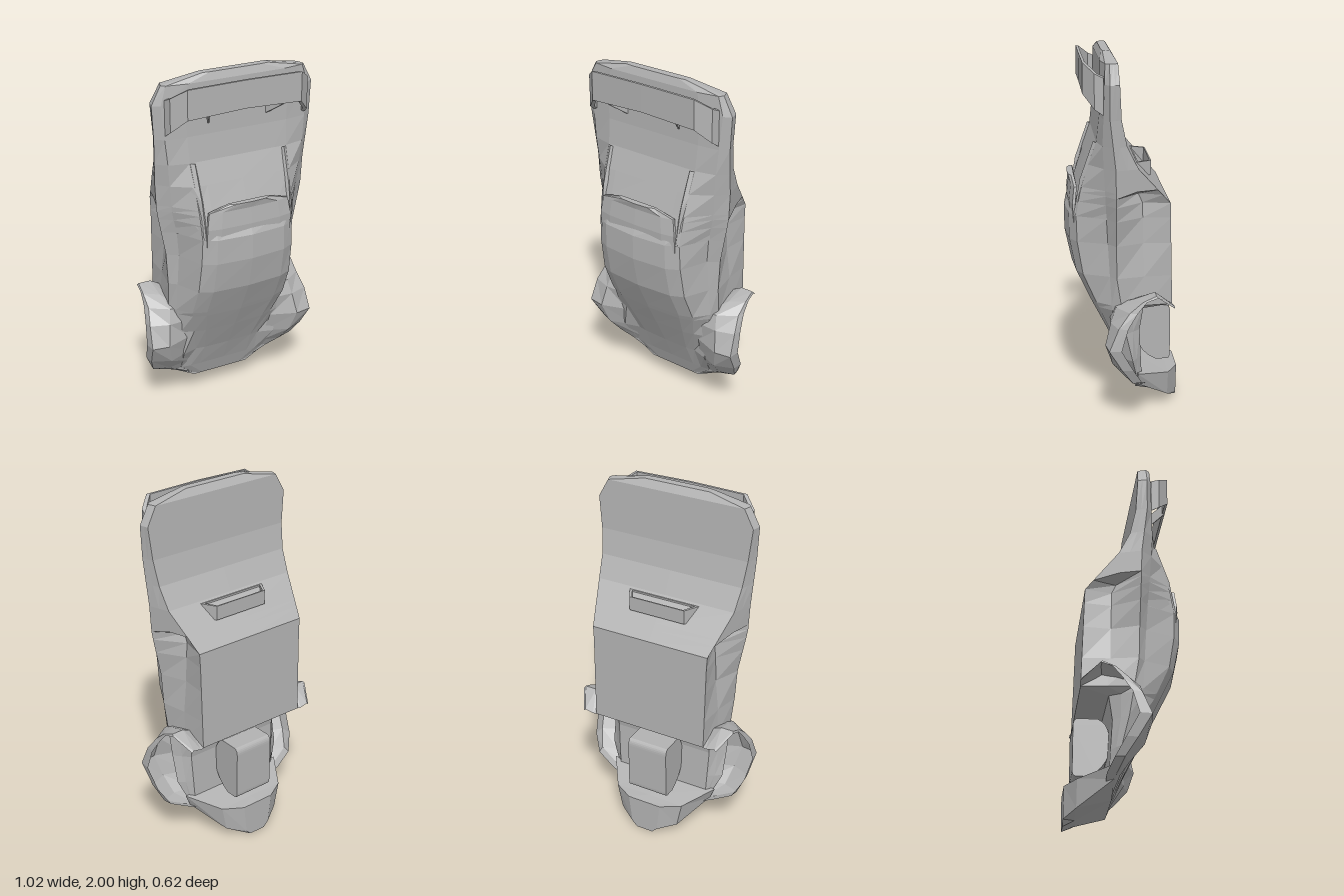
import * as THREE from 'three';

const paint = new THREE.MeshStandardMaterial({ color: 0xb2b2b2, flatShading: true, side: THREE.DoubleSide });
paint.name = 'body grey';

// Skin between successive rings of [x, y, z] points
function loft(rings, closed = true, caps = closed) {
  const out = [], n = rings[0].length, last = rings.length - 1;
  const tri = (a, b, c) => out.push(...a, ...b, ...c);
  for (let i = 0; i < last; i++) {
    for (let j = 0; j < (closed ? n : n - 1); j++) {
      const k = (j + 1) % n, a = rings[i][j], b = rings[i][k], c = rings[i + 1][k], d = rings[i + 1][j];
      tri(a, b, c);
      tri(a, c, d);
    }
  }
  if (caps) for (let j = 0; j < n; j++) {
    const k = (j + 1) % n;
    const mid = r => [0, (r[0][1] + r[n >> 1][1]) / 2, (r[0][2] + r[n >> 1][2]) / 2];
    tri(mid(rings[0]), rings[0][k], rings[0][j]);
    tri(mid(rings[last]), rings[last][j], rings[last][k]);
  }
  const g = new THREE.BufferGeometry();
  g.setAttribute('position', new THREE.Float32BufferAttribute(out, 3));
  g.computeVertexNormals();
  return g;
}

// Closes a half ring (first and last points on x = 0) with its mirror image
const mirrorRing = half => [...half, ...half.slice(1, -1).reverse().map(([x, y, z]) => [-x, y, z])];

// Straight-line interpolation through (height, value) pairs
const profile = (...p) => y => {
  if (y <= p[0]) return p[1];
  for (let i = 2; i < p.length; i += 2) {
    if (y <= p[i]) return THREE.MathUtils.mapLinear(y, p[i - 2], p[i], p[i - 1], p[i + 1]);
  }
  return p[p.length - 1];
};

// Long lines of the shell, from nose to tail
const crownZ = profile(0.11, -0.07, 0.2, -0.035, 0.34, 0.03, 0.63, 0.18, 0.82, 0.272, 1, 0.31, 1.14, 0.31, 1.26, 0.25, 1.54, 0.15, 1.68, 0.135, 1.96, 0.13, 2, 0.115);
const roofX = profile(0.11, 0.12, 0.2, 0.21, 0.34, 0.2, 0.66, 0.285, 1.14, 0.27, 1.86, 0.3, 1.96, 0.28, 2, 0.15);
const roofDrop = profile(0.2, 0, 0.63, 0.04, 1, 0.057, 1.14, 0.053, 1.26, 0.012, 1.42, 0);
const wideX = profile(0.11, 0.17, 0.2, 0.3, 0.34, 0.36, 0.66, 0.37, 1, 0.39, 1.26, 0.44, 1.86, 0.468, 1.96, 0.415, 2, 0.2);
const wideZ = profile(0.11, -0.085, 0.2, -0.07, 0.5, 0, 0.82, 0.05, 1.42, 0.06, 1.68, 0.09);
const beltInset = profile(0.11, 0.01, 0.34, 0.07, 0.66, 0.025, 1.14, 0.07, 1.86, 0.04, 2, 0.01);
const beltZ = profile(0.11, -0.075, 0.2, -0.045, 0.34, 0.045, 0.66, 0.075, 1.54, 0.125, 2, 0.11);
const sillX = profile(0.11, 0.16, 0.2, 0.28, 0.63, 0.3, 0.66, 0.34, 1.21, 0.345, 1.42, 0.41, 1.86, 0.455, 1.96, 0.4, 2, 0.19);
const sillZ = profile(0.11, -0.1, 0.5, -0.08, 0.63, -0.1, 0.66, -0.25, 1.22, -0.235, 1.42, -0.06, 1.54, 0, 1.68, 0.03, 1.96, 0.045, 2, 0.07);
const sideDent = profile(0.66, 0, 0.82, 0.01, 1.14, 0.055, 1.27, 0.085, 1.3, 0);

// Cross-section of the shell at one height
function shellRing(y) {
  const c = crownZ(y), r = roofX(y), w = wideX(y), s = sillX(y), d = sideDent(y);
  return mirrorRing([
    [0, y, c], [r * 0.74, y, c - roofDrop(y) * 0.32], [r, y, c - roofDrop(y)],
    [w - beltInset(y), y, beltZ(y)], [w, y, wideZ(y)],
    [(w + s) / 2 - d, y, (wideZ(y) + sillZ(y)) / 2], [s, y, sillZ(y)], [0, y, sillZ(y)],
  ]);
}

export function createModel() {
  const model = new THREE.Group();
  model.name = 'carBody';
  const add = (name, geo) => {
    const m = new THREE.Mesh(geo, paint);
    m.name = name;
    model.add(m);
    return m;
  };
  const pair = (name, geo) => {
    add(name + 'Left', geo);
    add(name + 'Right', geo).scale.x = -1;
  };

  // Main shell
  const heights = [0.11, 0.2, 0.34, 0.5, 0.63, 0.66, 0.82, 1, 1.14, 1.22, 1.27, 1.3, 1.42, 1.54, 1.68, 1.86, 1.96, 2];
  add('mainShell', loft(heights.map(shellRing)));

  // Flared front fenders, open to the wheel wells: y, then x and z of four points
  const fender = [
    [0.12, 0.14, -0.08, 0.17, -0.075, 0.18, -0.09, 0.18, -0.11],
    [0.2, 0.24, -0.05, 0.3, -0.04, 0.34, -0.06, 0.33, -0.11],
    [0.25, 0.24, -0.02, 0.36, 0, 0.45, -0.03, 0.44, -0.08],
    [0.34, 0.24, 0.02, 0.38, 0.075, 0.485, 0.03, 0.49, -0.03],
    [0.46, 0.26, 0.06, 0.41, 0.115, 0.505, 0.1, 0.51, 0.035],
    [0.58, 0.29, 0.08, 0.39, 0.085, 0.495, 0.05, 0.5, 0],
    [0.66, 0.31, 0.06, 0.375, 0.055, 0.475, -0.01, 0.485, -0.05],
  ];
  pair('fender', loft(fender.map(([y, ...p]) => [0, 2, 4, 6].map(i => [p[i], y, p[i + 1]])), false));

  // Wall behind each front wheel, flaring into a small flap
  pair('fenderFlap', loft([
    [[0.31, 0.66, 0.06], [0.375, 0.66, 0.055], [0.475, 0.66, -0.01], [0.485, 0.66, -0.05]],
    [[0.34, 0.69, -0.03], [0.39, 0.71, -0.04], [0.475, 0.72, -0.08], [0.48, 0.72, -0.1]],
    [[0.34, 0.72, -0.14], [0.4, 0.75, -0.15], [0.47, 0.75, -0.15], [0.475, 0.74, -0.16]],
    [[0.33, 0.66, -0.25], [0.36, 0.66, -0.255], [0.41, 0.67, -0.255], [0.42, 0.66, -0.255]],
  ], false));

  // Front lip below the nose: z, then x and y of five points
  const lip = [
    [-0.31, 0, 0, 0.05, 0, 0.08, 0.03, 0.1, 0.2, 0, 0.2],
    [-0.25, 0, 0.03, 0.06, 0.03, 0.18, 0.06, 0.21, 0.205, 0, 0.21],
    [-0.07, 0, 0.11, 0.17, 0.11, 0.3, 0.18, 0.33, 0.25, 0, 0.25],
  ];
  add('frontLip', loft(lip.map(([z, ...p]) => mirrorRing([0, 2, 4, 6, 8].map(i => [p[i], p[i + 1], z])))));

  // Rounded tub between the front wheels
  const tub = new THREE.Shape();
  tub.moveTo(0.07, 0.43).quadraticCurveTo(0.08, 0.55, 0.14, 0.57);
  tub.lineTo(0.25, 0.57).quadraticCurveTo(0.27, 0.56, 0.27, 0.53);
  tub.lineTo(0.27, 0.28).quadraticCurveTo(0.27, 0.25, 0.25, 0.25);
  tub.lineTo(0.19, 0.25).quadraticCurveTo(0.08, 0.3, 0.07, 0.43);
  const tubGeo = new THREE.ExtrudeGeometry(tub, { depth: 0.24, bevelEnabled: false, curveSegments: 5 });
  add('frontTub', tubGeo.translate(0, 0, -0.12).rotateY(Math.PI / 2));

  // Roof overhang above the rear window: half width, y, z
  const overhang = [[0.25, 1.1, 0.27], [0.25, 1.2, 0.275], [0.235, 1.29, 0.265], [0.12, 1.325, 0.275]];
  add('roofOverhang', loft(overhang.map(([w, y, z]) => mirrorRing([
    [0, y, z + 0.02], [w * 0.7, y, z + 0.015], [w, y, z], [w, y, z - 0.015], [0, y, z - 0.015],
  ]))));

  // Buttresses sloping from the roof to the rear deck
  pair('buttress', loft([
    [[0.23, 1.14, 0.25], [0.255, 1.14, 0.27], [0.355, 1.14, 0.1]],
    [[0.235, 1.34, 0.2], [0.26, 1.34, 0.235], [0.355, 1.34, 0.12]],
    [[0.25, 1.53, 0.14], [0.265, 1.54, 0.165], [0.33, 1.53, 0.12]],
  ], true, false));

  // Rear wing: a blade sweeping down into both ends (x, lower y, upper y, z)
  const wingHalf = [[0, 1.815, 1.965, 0.225], [0.33, 1.8, 1.96, 0.222], [0.4, 1.73, 1.91, 0.165], [0.41, 1.7, 1.89, 0.12]];
  pair('rearWing', loft(wingHalf.map(([x, y0, y1, z]) => [
    [x, y0, z], [x, y1, z], [x * 0.96, y1, z - 0.014], [x * 0.96, y0, z - 0.014],
  ]).reverse(), true, false));

  // Inner wing struts
  const strutEnd = (x, y, z) => [[x, y, z], [x + 0.01, y, z], [x + 0.01, y + 0.07, z], [x, y + 0.07, z]];
  pair('wingStrut', loft([strutEnd(0.16, 1.73, 0.125), strutEnd(0.215, 1.8, 0.22)], true, false));

  // Exhaust surround with an open centre
  const trapezoid = (wide, narrow, top, bottom) =>
    [[-wide, top], [wide, top], [narrow, bottom], [-narrow, bottom]].map(p => new THREE.Vector2(...p));
  const vent = new THREE.Shape(trapezoid(0.21, 0.165, 0.07, 0.15));
  vent.holes.push(new THREE.Path(trapezoid(0.19, 0.155, 0.077, 0.143)));
  const ventGeo = new THREE.ExtrudeGeometry(vent, { depth: 0.08, bevelEnabled: false });
  add('exhaustSurround', ventGeo.rotateX(-Math.PI / 2).translate(0, 1.33, 0));

  return model;
}
